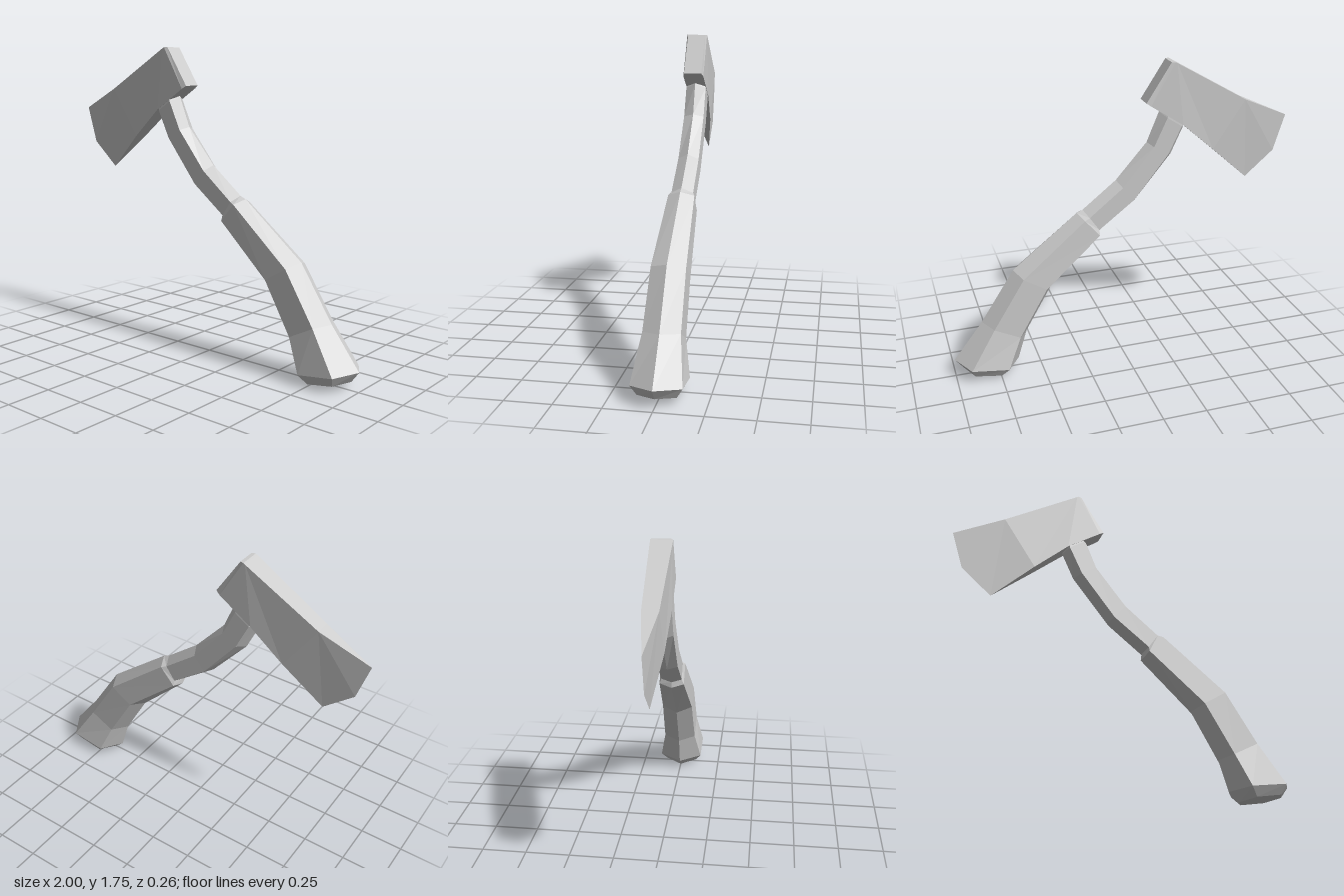
import * as THREE from 'three';

// Collects faces (counter-clockwise corner lists) into one faceted geometry
function facesToGeometry(faces) {
  const pos = [];
  for (const f of faces) {
    for (let i = 1; i < f.length - 1; i++) pos.push(...f[0], ...f[i], ...f[i + 1]);
  }
  const g = new THREE.BufferGeometry();
  g.setAttribute('position', new THREE.Float32BufferAttribute(pos, 3));
  g.computeVertexNormals();
  return g;
}

// Hexagonal handle: each row is upper ridge, upper side edge,
// lower side edge, lower ridge (x, y pairs), then half thickness
function handleGeometry() {
  const rows = [
    [-0.26, 1.53, -0.28, 1.51, -0.34, 1.47, -0.36, 1.45, 0.05],
    [-0.22, 1.475, -0.25, 1.45, -0.335, 1.395, -0.365, 1.375, 0.057],
    [-0.15, 1.305, -0.175, 1.29, -0.26, 1.24, -0.295, 1.225, 0.057],
    [0.03, 1.1, 0.005, 1.07, -0.06, 0.99, -0.085, 0.98, 0.058],
    [0.225, 0.945, 0.2, 0.915, 0.145, 0.835, 0.13, 0.82, 0.06],
    [0.26, 0.93, 0.23, 0.905, 0.145, 0.805, 0.13, 0.785, 0.072],
    [0.635, 0.63, 0.595, 0.605, 0.465, 0.525, 0.42, 0.5, 0.092],
    [0.83, 0.33, 0.775, 0.32, 0.63, 0.245, 0.575, 0.23, 0.098],
    [1.0, 0.11, 0.92, 0.095, 0.71, 0.065, 0.63, 0.055, 0.132],
    [0.955, 0.05, 0.9, 0.04, 0.75, 0.015, 0.69, 0.003, 0.1],
  ];
  const rings = rows.map(([a, b, c, d, e, f, g, h, w]) => [
    [a, b, 0], [c, d, w], [e, f, w], [g, h, 0], [e, f, -w], [c, d, -w],
  ]);
  const faces = [];
  for (let j = 0; j < rings.length - 1; j++) {
    for (let i = 0; i < 6; i++) {
      const k = (i + 1) % 6;
      faces.push([rings[j][i], rings[j][k], rings[j + 1][k], rings[j + 1][i]]);
    }
  }
  faces.push(rings[rings.length - 1], [...rings[0]].reverse());
  return facesToGeometry(faces);
}

// Wedge head: stations from poll to cheek, then a fan to the cutting edge
function headGeometry() {
  // top x, y, bottom x, y, half thickness
  const stations = [
    [-0.27, 1.755, -0.13, 1.54, 0.05],
    [-0.29, 1.755, -0.155, 1.523, 0.058],
    [-0.3, 1.75, -0.345, 1.4, 0.058],
    [-0.72, 1.51, -0.535, 1.235, 0.043],
  ].map(([tx, ty, bx, by, z]) => ({
    tf: [tx, ty, z], tb: [tx, ty, -z], bf: [bx, by, z], bb: [bx, by, -z],
  }));
  const edge = [[-1, 1.385, 0], [-0.935, 1.175, 0], [-0.765, 1.03, 0]];
  const first = stations[0], last = stations[3];
  const faces = [[first.tf, first.bf, first.bb, first.tb]];
  for (let i = 0; i < 3; i++) {
    const p = stations[i], q = stations[i + 1];
    faces.push(
      [p.tf, q.tf, q.bf, p.bf], [p.tb, p.bb, q.bb, q.tb],
      [p.tf, p.tb, q.tb, q.tf], [p.bf, q.bf, q.bb, p.bb],
    );
  }
  // Blade facets on both sides, closed above and below
  faces.push(
    [last.tf, ...edge, last.bf],
    [last.tb, last.bb, ...[...edge].reverse()].map((p) => p),
    [last.tf, last.tb, edge[0]],
    [last.bf, edge[2], last.bb],
  );
  return facesToGeometry(faces);
}

export function createModel() {
  const grey = new THREE.MeshStandardMaterial({ color: 0xcccccc });
  grey.name = 'plain grey';
  const group = new THREE.Group();
  group.name = 'axe';
  for (const [name, geometry] of [['handle', handleGeometry()], ['axeHead', headGeometry()]]) {
    const mesh = new THREE.Mesh(geometry, grey);
    mesh.name = name;
    group.add(mesh);
  }
  return group;
}
